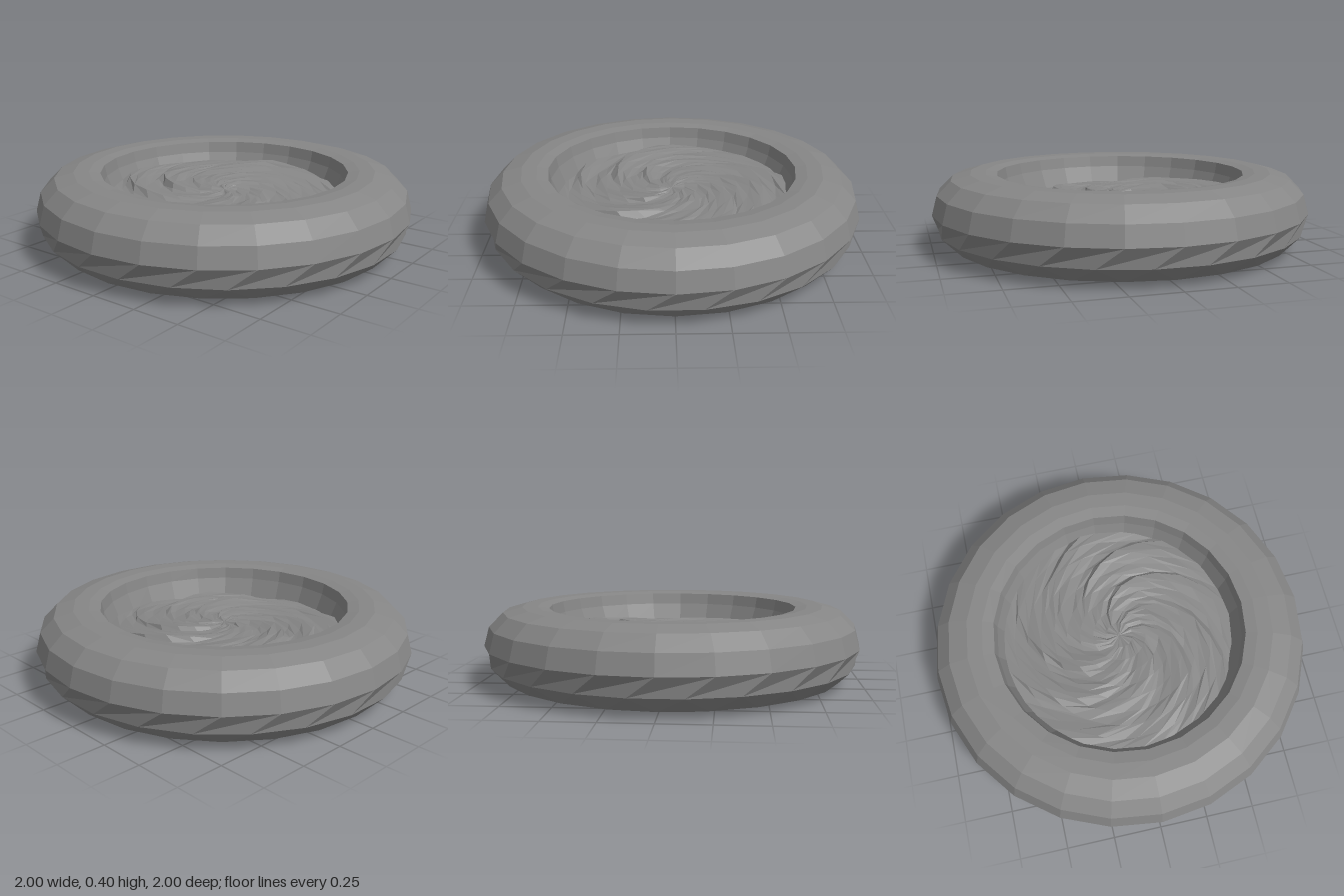
import * as THREE from 'three';

// Skin a stack of closed rings; each ring is an array of [angle, radius, height].
function loft(rings) {
  const n = rings[0].length, pos = [], idx = [];
  for (const ring of rings)
    for (const [a, r, y] of ring) pos.push(r * Math.cos(a), y, r * Math.sin(a));
  for (let i = 0; i < rings.length - 1; i++)
    for (let j = 0; j < n; j++) {
      const k = (j + 1) % n;
      const a = i * n + j, b = i * n + k, c = a + n, d = b + n;
      idx.push(a, c, b, b, c, d);
    }
  const g = new THREE.BufferGeometry();
  g.setAttribute('position', new THREE.Float32BufferAttribute(pos, 3));
  g.setIndex(idx);
  const flat = g.toNonIndexed();
  flat.computeVertexNormals();
  return flat;
}

// Small repeatable noise in -1..1
function seeded(seed) {
  let s = seed;
  return () => {
    s = (s * 16807) % 2147483647;
    return (s / 2147483647) * 2 - 1;
  };
}

export function createModel() {
  const group = new THREE.Group();
  const grey = new THREE.MeshStandardMaterial({
    color: 0x868686, flatShading: true, side: THREE.DoubleSide,
  });
  grey.name = 'stone grey';

  const add = (name, geometry) => {
    const mesh = new THREE.Mesh(geometry, grey);
    mesh.name = name;
    group.add(mesh);
  };

  // Faceted ring: bottom, rounded outside, flat top, steep inner lip, sloping wall.
  // The third value turns a row by part of a facet, giving triangular facets.
  const SIDES = 24;
  const ringRow = ([r, y, twist = 0]) =>
    Array.from({ length: SIDES }, (_, j) =>
      [((j + twist) / SIDES) * Math.PI * 2, r, y]);
  const profile = [
    [0.8, 0], [0.9, 0.027], [0.973, 0.1, 0.5], [1, 0.2],
    [0.973, 0.3], [0.9, 0.373], [0.8, 0.4], [0.72, 0.4],
    [0.66, 0.39], [0.648, 0.33], [0.6, 0.21],
  ];
  add('outerRing', loft(profile.map(ringRow)));

  // Flat closed base
  add('base', loft([[0, 0], [0.8, 0]].map(ringRow)));

  // Swirling surface: low curved ripples, each with a short step and a long gentle fall
  const rand = seeded(71);
  const ARMS = 8, CURL = 3.4;
  const step = [[0, 0], [0.14, 1], [0.35, 0.85], [0.6, 0.5], [0.82, 0.2]];
  const radii = [0.615, 0.56, 0.49, 0.42, 0.35, 0.28, 0.21, 0.14, 0.07, 0];
  const swirl = radii.map((r) => {
    const ring = [];
    for (let arm = 0; arm < ARMS; arm++)
      for (const [f, h] of step) {
        const a = ((arm + f) / ARMS) * Math.PI * 2 + CURL * r + rand() * 0.03;
        const lean = -0.035 * r * (Math.cos(a) + Math.sin(a));
        const dome = 0.025 * (1 - (r / 0.615) ** 2);
        const ripple = 0.032 * Math.min(1, r / 0.4) * (0.6 + 0.4 * Math.sin(arm * 2.3 + r * 11));
        const noise = r > 0 ? rand() * 0.006 : 0;
        ring.push([a, r, 0.25 + lean + dome + h * ripple + noise]);
      }
    return ring;
  });
  add('swirlSurface', loft(swirl));

  return group;
}
